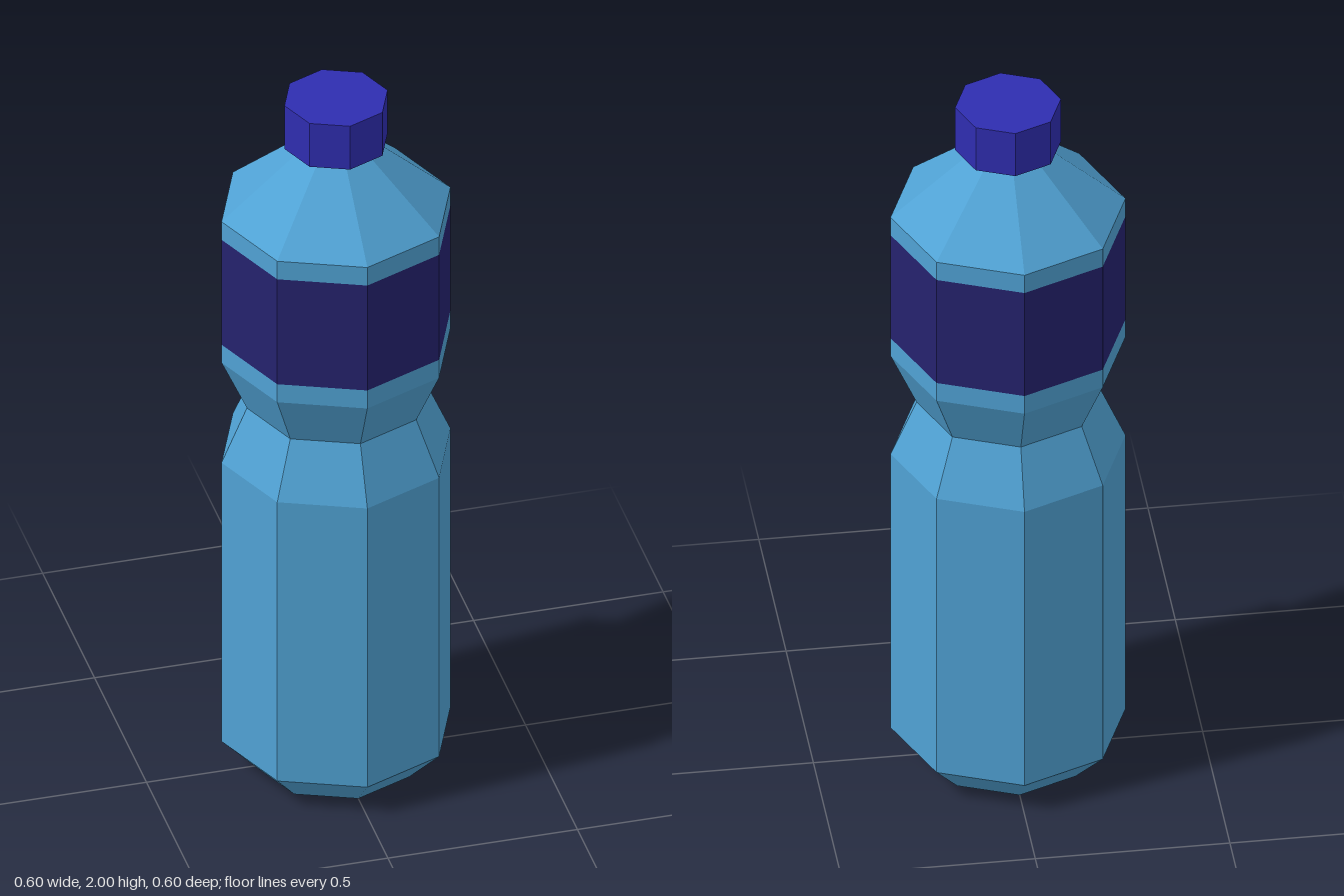
import * as THREE from 'three';

const SIDES = 8;

// Faceted ring of revolution; profile points are [radius, y], listed so the outside faces out
function facetedLathe(name, profile, material) {
  const points = profile.map(([r, y]) => new THREE.Vector2(r, y));
  const geometry = new THREE.LatheGeometry(points, SIDES).toNonIndexed();
  geometry.computeVertexNormals();
  const mesh = new THREE.Mesh(geometry, material);
  mesh.name = name;
  return mesh;
}

export function createModel() {
  const plastic = new THREE.MeshStandardMaterial({ color: 0x50a2d4 });
  plastic.name = 'light blue plastic';
  const labelPaper = new THREE.MeshStandardMaterial({ color: 0x25226e });
  labelPaper.name = 'navy label';
  const capPlastic = new THREE.MeshStandardMaterial({ color: 0x2f2db0 });
  capPlastic.name = 'blue cap';

  const R = 0.302; // widest radius of the bottle
  const bottle = new THREE.Group();
  bottle.name = 'bottle';

  // Recessed base, lower body, pinched waist, up to the label
  bottle.add(facetedLathe('lowerBody', [
    [0, 0.09], [0.15, 0.09], [0.215, 0], [R, 0.09],
    [R, 0.94], [0.235, 1.095], [R, 1.245], [R, 1.3],
  ], plastic));

  // Label band, flush with the body
  bottle.add(facetedLathe('label', [[R, 1.3], [R, 1.62]], labelPaper));

  // Shoulder tapering into the neck, which runs up inside the cap
  bottle.add(facetedLathe('shoulder', [
    [R, 1.62], [R, 1.675], [0.09, 1.86], [0.09, 1.9],
  ], plastic));

  // Screw cap with a small bevel below
  bottle.add(facetedLathe('cap', [
    [0.085, 1.857], [0.108, 1.857], [0.136, 1.868], [0.136, 2], [0, 2],
  ], capPlastic));

  return bottle;
}
